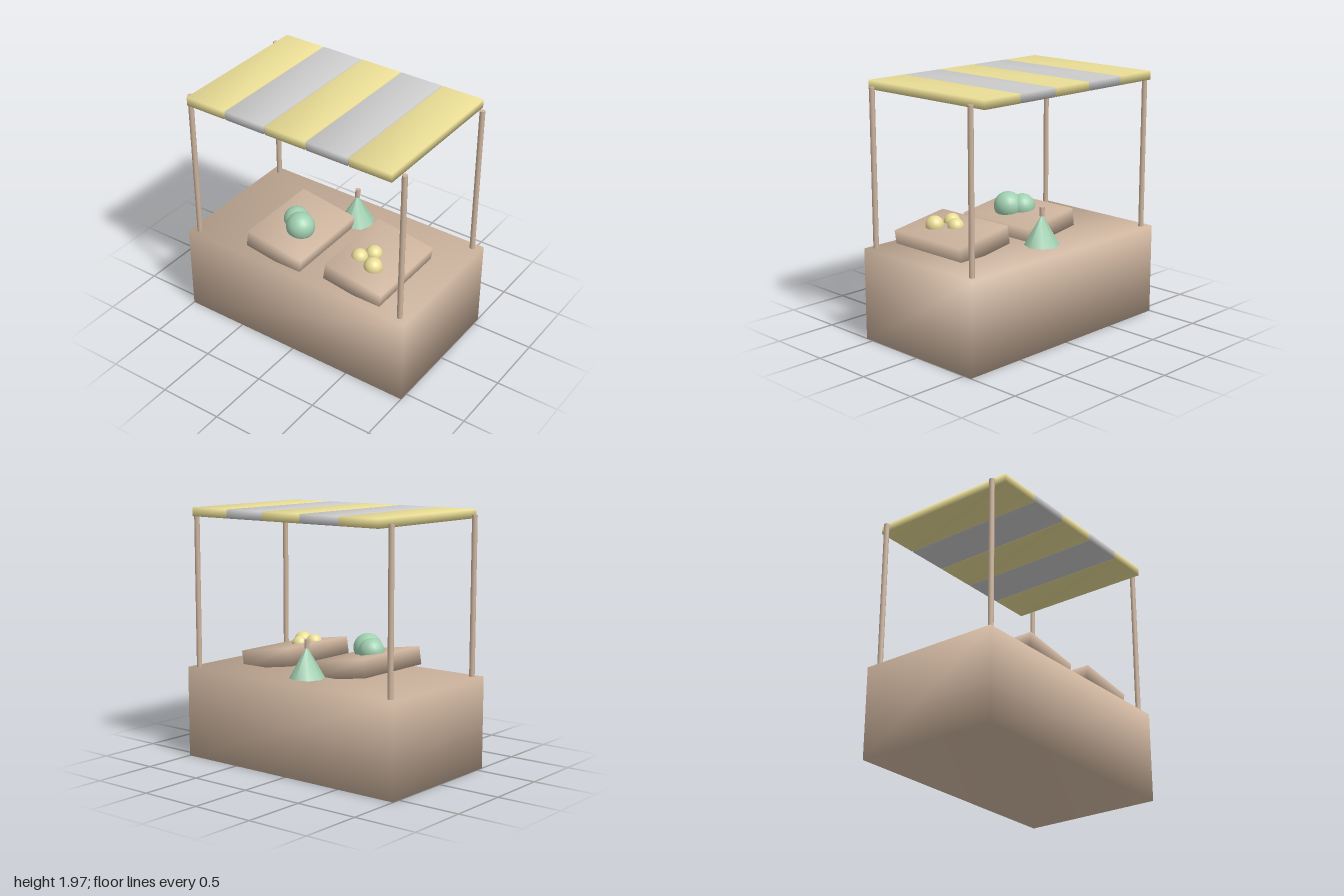
import * as THREE from 'three';
import { mergeVertices } from 'three/addons/utils/BufferGeometryUtils.js';

const material = (color) => new THREE.MeshStandardMaterial({ color });

export function createModel() {
  const model = new THREE.Group();
  const wood = material(0xcdb49e);
  const yellow = material(0xeadd96);
  const green = material(0xa0cfb0);
  const grey = material(0xcccccc);

  const add = (name, geometry, mat, x, y, z) => {
    const mesh = new THREE.Mesh(geometry, mat);
    mesh.name = name;
    mesh.position.set(x, y, z);
    model.add(mesh);
    return mesh;
  };

  // Box with shared corners, so its shading runs softly over the edges
  const softBox = (w, h, d) => {
    const box = new THREE.BoxGeometry(w, h, d);
    box.deleteAttribute('normal');
    box.deleteAttribute('uv');
    const soft = mergeVertices(box);
    soft.computeVertexNormals();
    return soft;
  };

  // Counter block
  add('counter', softBox(1.14, 0.715, 2), wood, 0, 0.3575, 0);

  // Four corner posts
  for (const x of [-0.515, 0.515]) {
    for (const z of [-0.93, 0.93]) {
      const name = (z > 0 ? 'front' : 'back') + (x > 0 ? 'Left' : 'Right') + 'Post';
      add(name, new THREE.CylinderGeometry(0.021, 0.021, 1.225, 10), wood, x, 1.3175, z);
    }
  }

  // Striped canopy of five slats
  for (let i = -2; i <= 2; i++) {
    add('canopySlat', softBox(1.21, 0.067, 0.345), i % 2 ? grey : yellow, 0, 1.934, i * 0.3565);
  }

  // Two crates tilted towards the front
  for (const z of [0.502, -0.216]) {
    add('crate', softBox(0.71, 0.141, 0.5), wood, -0.145, 0.788, z).rotation.x = 0.15;
  }

  // Fruit half sunk into the crates: radius, x, y, z
  const fruit = (name, mat, list) => {
    for (const [r, x, y, z] of list) add(name, new THREE.SphereGeometry(r, 20, 14), mat, x, y, z);
  };
  fruit('yellowFruit', yellow, [
    [0.071, -0.286, 0.863, 0.545],
    [0.064, -0.146, 0.861, 0.46],
    [0.064, -0.25, 0.869, 0.4],
  ]);
  fruit('melon', green, [
    [0.112, -0.215, 0.893, -0.17],
    [0.1, -0.143, 0.884, -0.26],
  ]);

  // Cone-shaped gourd with its stem
  add('gourd', new THREE.ConeGeometry(0.136, 0.24, 8), green, 0.31, 0.835, 0);
  add('gourdStem', new THREE.CylinderGeometry(0.02, 0.02, 0.07, 8), wood, 0.31, 0.975, 0);

  return model;
}
